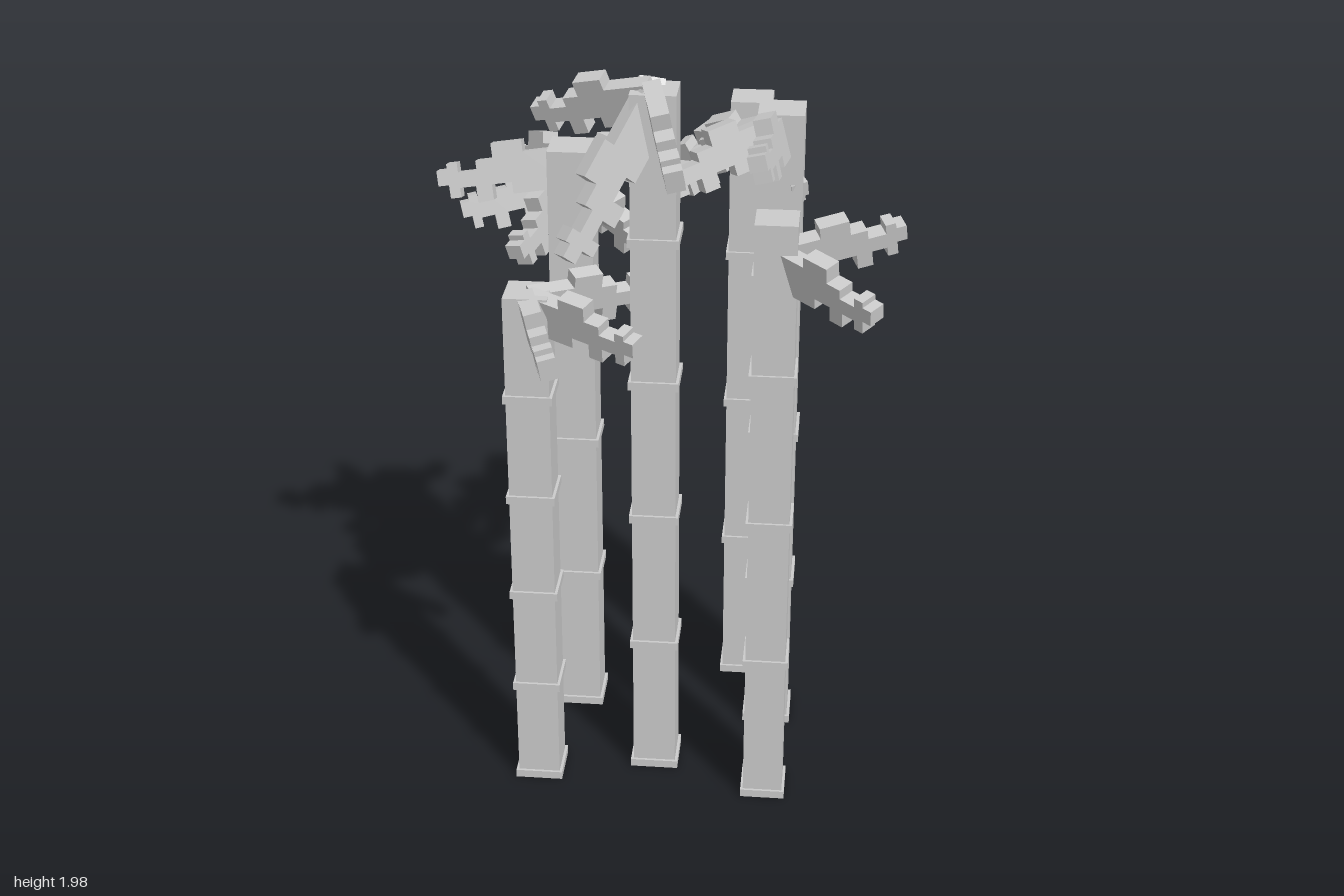
import * as THREE from 'three';

const material = new THREE.MeshStandardMaterial({ color: 0xcccccc, flatShading: true });

// x, z, height, width, segments, branch start below top, branch tips [x, y, z, roll]
const STALKS = [
  [-0.32, 0.19, 1.44, 0.112, 5, 0.03, [[-0.23, 1.36, 0.47, 0.2], [-0.03, 1.36, 0.34, 0.2], [-0.04, 1.38, 0.02, 0.2]]],
  [-0.01, 0.11, 1.945, 0.114, 5, 0.01, [[0.07, 1.84, 0.46, 0.2], [-0.31, 1.84, 0.01, -0.3], [-0.11, 1.73, -0.2, 0.2], [-0.2, 1.58, 0.32, 0.2]]],
  [0.295, 0.225, 1.67, 0.105, 4, 0.1, [[0.6, 1.61, 0.13, 0.2], [0.54, 1.51, 0.43, 0.2]]],
  [0.287, -0.137, 1.82, 0.118, 4, 0.05, [[0.245, 1.78, 0.19, 0.25], [0.0, 1.67, 0.03, 0.2], [0.02, 1.62, -0.3, -0.3]]],
  [0.2, -0.373, 1.768, 0.108, 4, 0.07, [[0.34, 1.61, -0.09, 0.2], [0.02, 1.6, -0.15, 0.2]]],
  [-0.253, -0.175, 1.69, 0.116, 4, 0.04, [[-0.6, 1.58, -0.165, 0.25], [-0.46, 1.55, -0.42, 0.2], [-0.12, 1.53, -0.48, 0.2]]],
  [-0.285, -0.381, 1.56, 0.1, 5, 0.05, [[-0.57, 1.44, -0.3, 0.2], [-0.39, 1.42, -0.07, 0.2], [-0.04, 1.4, -0.18, 0.2]]],
];

// Stepped leaf outline: u runs along the branch from 0 to 1, v is its height
const OUTLINE = [
  [0, -0.05], [0.45, -0.05], [0.45, -0.02], [0.6, -0.02], [0.6, -0.06], [0.72, -0.06],
  [0.72, -0.02], [0.84, -0.02], [0.84, -0.045], [0.92, -0.045], [0.92, -0.01], [1, -0.01],
  [1, 0.03], [0.92, 0.03], [0.92, 0.045], [0.84, 0.045], [0.84, 0.02], [0.7, 0.02],
  [0.7, 0.045], [0.57, 0.045], [0.57, 0.085], [0.34, 0.085], [0.34, 0.055], [0, 0.055],
];
const THICKNESS = 0.045;

function box(name, w, h, y) {
  const mesh = new THREE.Mesh(new THREE.BoxGeometry(w, h, w), material);
  mesh.name = name;
  mesh.position.y = y;
  return mesh;
}

// Flat leafy branch standing on edge, aimed from start to tip
function leafBranch(start, tip, roll) {
  const d = tip.clone().sub(start);
  const length = d.length();
  const shape = new THREE.Shape(OUTLINE.map(([u, v]) => new THREE.Vector2(u * length, v)));
  const geometry = new THREE.ExtrudeGeometry(shape, { depth: THICKNESS, bevelEnabled: false });
  geometry.translate(0, 0, -THICKNESS / 2);
  const mesh = new THREE.Mesh(geometry, material);
  mesh.name = 'leafBranch';
  mesh.position.copy(start);
  mesh.rotation.set(roll, Math.atan2(-d.z, d.x), Math.asin(d.y / length), 'YZX');
  return mesh;
}

export function createModel() {
  const model = new THREE.Group();
  model.name = 'bambooCluster';
  for (const [x, z, height, width, segments, drop, tips] of STALKS) {
    const plant = new THREE.Group();
    plant.name = 'bambooPlant';
    plant.position.set(x, 0, z);
    plant.add(box('stalk', width, height, height / 2));
    // A raised ring at the foot and between segments
    for (let i = 0; i < segments; i++) {
      plant.add(box('nodeRing', width * 1.13, 0.022, 0.011 + (i * height) / segments));
    }
    for (const [tx, ty, tz, roll] of tips) {
      const start = new THREE.Vector3(0, height - drop - 0.02, 0);
      plant.add(leafBranch(start, new THREE.Vector3(tx - x, ty, tz - z), roll));
    }
    model.add(plant);
  }
  return model;
}
